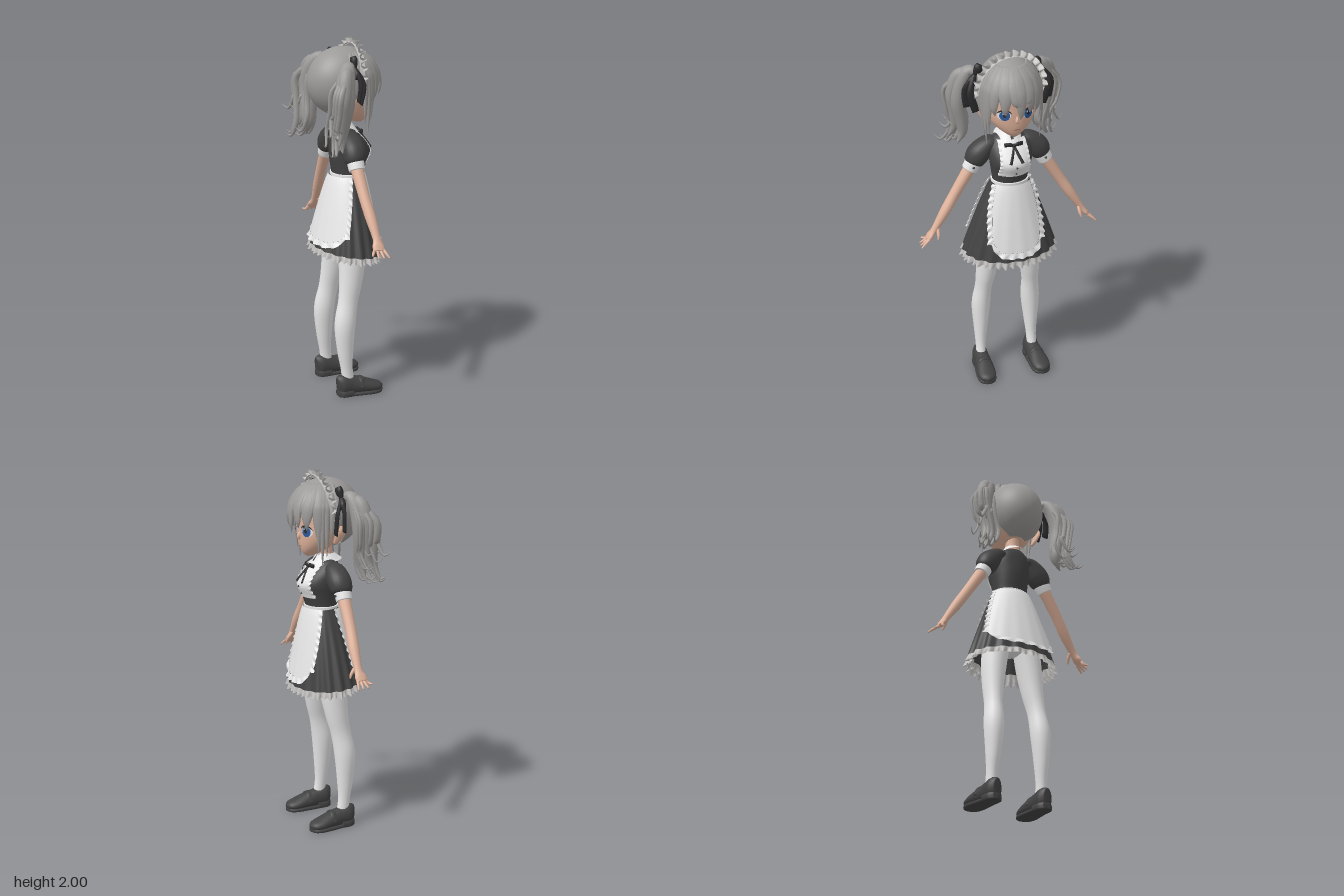
import * as THREE from 'three';

const paint = (name, color, side = THREE.DoubleSide) => {
  const m = new THREE.MeshStandardMaterial({ color, side });
  m.name = name;
  return m;
};
const V = (x, y, z) => new THREE.Vector3(x, y, z);
const lerp = THREE.MathUtils.lerp;
const UP = V(0, 1, 0), FORWARD = V(0, 0, 1);

// smooth interpolation of rows [x, y, z, halfWidth, halfDepth]
function sample(rows, t) {
  const f = t * (rows.length - 1), i = Math.min(Math.floor(f), rows.length - 2), k = f - i;
  const r = j => rows[Math.max(0, Math.min(rows.length - 1, j))];
  return rows[i].map((_, c) => {
    const [a, b, d, e] = [r(i - 1)[c], r(i)[c], r(i + 1)[c], r(i + 2)[c]];
    return b + 0.5 * k * (d - a + k * (2 * a - 5 * b + 4 * d - e + k * (3 * (b - d) + e - a)));
  });
}

function surface(pos, idx) {
  const g = new THREE.BufferGeometry();
  g.setAttribute('position', new THREE.Float32BufferAttribute(pos, 3));
  g.setIndex(idx);
  g.computeVertexNormals();
  return g;
}

// surface from a function of u and v in 0..1
function grid(fn, nu, nv) {
  const pos = [], idx = [];
  for (let i = 0; i <= nv; i++) for (let j = 0; j <= nu; j++) pos.push(...fn(j / nu, i / nv).toArray());
  for (let i = 0; i < nv; i++) for (let j = 0; j < nu; j++) {
    const a = i * (nu + 1) + j, c = a + nu + 1;
    idx.push(a, c, a + 1, a + 1, c, c + 1);
  }
  return surface(pos, idx);
}

// closed tube with oval sections; ref sets the depth direction, axis keeps the sections level
function sweep(rows, { ref = FORWARD, seg = 14, steps = 5, lo = -9, hi = 9, axis } = {}) {
  const n = (rows.length - 1) * steps, pos = [], idx = [];
  for (let i = -1; i <= n + 1; i++) {
    const t = Math.max(0, Math.min(1, i / n)), s = sample(rows, t), k = i < 0 || i > n ? 0 : 1;
    const p = sample(rows, Math.max(0, t - 0.01)), q = sample(rows, Math.min(1, t + 0.01));
    const T = axis || V(q[0] - p[0], q[1] - p[1], q[2] - p[2]).normalize();
    const S = T.clone().cross(ref).normalize(), N = S.clone().cross(T);
    for (let j = 0; j < seg; j++) {
      const w = j / seg * Math.PI * 2;
      const v = V(s[0], s[1], s[2]).addScaledVector(S, k * Math.max(0, s[3]) * Math.cos(w))
        .addScaledVector(N, k * Math.max(0, s[4]) * Math.sin(w));
      pos.push(v.x, Math.max(lo, Math.min(hi, v.y)), v.z);
    }
  }
  for (let i = 0; i < n + 2; i++) for (let j = 0; j < seg; j++) {
    const a = i * seg + j, b = i * seg + (j + 1) % seg;
    idx.push(a, a + seg, b, b, a + seg, b + seg);
  }
  return surface(pos, idx);
}

// point on the front of an upright body at a given x and y
function front(rows, x, y, off) {
  let a = 0, b = 1;
  for (let i = 0; i < 24; i++) sample(rows, (a + b) / 2)[1] < y ? a = (a + b) / 2 : b = (a + b) / 2;
  const s = sample(rows, a);
  return V(x, y, s[2] + off + s[4] * Math.sqrt(Math.max(0, 1 - ((x - s[0]) / s[3]) ** 2)));
}

export function createModel() {
  const body = new THREE.Group(), model = new THREE.Group();
  model.add(body);
  body.name = 'figure';
  body.rotation.y = Math.PI / 2;
  const hair = paint('hair grey', 0x9c9a98), dark = paint('dress charcoal', 0x424243);
  const white = paint('apron white', 0xeeeeee), lace = paint('lace grey', 0xc4c2c0);
  const skin = paint('skin', 0xdfb29b, THREE.FrontSide), blue = paint('eye blue', 0x2d5b9c);
  const black = paint('ribbon black', 0x2c2c2e), lip = paint('lip', 0xa8705f);
  const add = (name, geo, mat) => {
    const m = new THREE.Mesh(geo, mat);
    m.name = name;
    body.add(m);
  };
  let seed = 7;
  const rnd = () => (seed = (seed * 16807) % 2147483647) / 2147483647;

  // head and neck
  const head = [[0, 1.535, .105, .012, .018], [0, 1.555, .092, .046, .052], [0, 1.59, .07, .09, .087],
    [0, 1.64, .05, .127, .113], [0, 1.71, .035, .146, .13], [0, 1.8, .02, .148, .145], [0, 1.88, .01, .11, .11]];
  add('head', sweep(head, { seg: 32, axis: UP }), skin);
  add('neck', sweep([[0, 1.48, 0, .05, .045], [0, 1.54, .01, .04, .04], [0, 1.64, .02, .045, .05]]), skin);
  add('nose', sweep([[0, 1.675, .152, .005, .008], [0, 1.645, .163, .01, .015], [0, 1.632, .15, .006, .008]]), skin);
  const decal = (name, x, y, w, h, off, mat) => add(name, grid((u, v) =>
    front(head, x + w * v * Math.cos(u * 6.2832), y + h * v * Math.sin(u * 6.2832), off), 20, 3), mat);
  decal('mouth', 0, 1.592, .018, .0025, .003, lip);
  for (const s of [-1, 1]) {
    decal('eyeWhite', s * .067, 1.678, .033, .028, .002, white);
    decal('iris', s * .065, 1.678, .026, .029, .004, blue);
    decal('pupil', s * .065, 1.682, .01, .014, .006, black);
    decal('eyeGlint', s * .065 - .009, 1.691, .004, .005, .008, white);
    add('lash', grid((u, v) => front(head, s * .067 - .038 * Math.cos(u * Math.PI),
      1.68 + (.023 + .011 * v) * Math.sin(u * Math.PI), .007), 12, 1), black);
    add('ear', sweep([[s * .14, 1.615, .02, .008, .012], [s * .152, 1.645, .005, .012, .025],
      [s * .162, 1.685, -.005, .012, .03], [s * .155, 1.71, 0, .006, .012]]), skin);
  }

  // hair cap, cut away in front of the face
  const dome = (f, a, k = 1) => V(.165 * k * Math.sin(a) * Math.sin(f), 1.765 + .19 * k * Math.cos(a),
    .01 + .2 * k * Math.sin(a) * Math.cos(f));
  add('hairCap', grid((u, v) => {
    const f = (u - .5) * Math.PI * 2, c = Math.cos(f);
    return dome(f, v * (c > 0 ? lerp(1.8, 1.25, c) : lerp(1.8, 2.75, Math.min(1, -c * 1.6))));
  }, 48, 24), hair);

  // pointed fringe and long locks beside the face, fanning out from the parting
  const lock = (f, tip, width, lean = 0) => {
    const rows = [.55, .9, 1.2, 1.45].map((a, i) =>
      [...dome(f + lean * i * .25, a, [.975, .99, 1.005, 1.02][i]).toArray(), width * [.6, 1, 1.05, .9][i], .012]);
    const e = dome(f + lean, 1.57, 1.03);
    rows.push([e.x, lerp(1.77, tip, .5), e.z, width * .6, .009], [e.x * .95 - lean * .03, tip, e.z * .97, .001, .001]);
    add('fringeLock', sweep(rows, { ref: V(Math.sin(f), .35, Math.cos(f)), seg: 8, steps: 4 }), hair);
  };
  [[-.92, 1.6, -.1], [-.74, 1.68, -.08], [-.56, 1.72, .1], [-.38, 1.69, -.08], [-.22, 1.74, .12], [-.06, 1.67, .1],
    [.1, 1.73, -.1], [.26, 1.7, .12], [.44, 1.75, -.1], [.58, 1.69, .1], [.76, 1.71, -.06], [.92, 1.62, .1]]
    .forEach(([f, tip, lean]) => lock(f, tip, .034, lean));
  for (const s of [-1, 1]) [[1.03, 1.56], [1.13, 1.5], [1.25, 1.55], [1.4, 1.64], [1.55, 1.68]].forEach(([f, y]) => lock(s * f, y, .02));

  // scalloped headband
  const arch = (u, r, z) => {
    const a = (u - .5) * 3.4;
    return V((.17 + r) * Math.sin(a), 1.775 + (.19 + r) * Math.cos(a), .045 + .025 * Math.cos(a) + z);
  };
  add('headband', grid((u, v) => arch(u, .005, (v - .5) * .03), 40, 1), lace);
  add('headbandFrill', grid((u, v) => arch(u, .002 + .033 * v * (.7 + .3 * Math.abs(Math.cos(u * 47))),
    .02 * Math.sin(u * 94) * (.35 + .65 * v)), 200, 4), lace);

  for (const s of [-1, 1]) {
    const m = rows => rows.map(([x, ...r]) => [s * x, ...r]);
    // twin tails: two full locks and loose curls
    add('hairTail', sweep(m([[.16, 1.86, -.02, .02, .02], [.2, 1.87, -.045, .032, .035], [.237, 1.8, -.075, .042, .052],
      [.252, 1.69, -.085, .042, .052], [.232, 1.58, -.095, .036, .046], [.225, 1.5, -.1, .026, .034], [.255, 1.43, -.1, .002, .002]]), { seg: 16 }), hair);
    add('outerTailLock', sweep(m([[.19, 1.87, -.04, .015, .02], [.25, 1.84, -.08, .03, .035], [.285, 1.73, -.1, .026, .036],
      [.272, 1.62, -.11, .024, .03], [.262, 1.53, -.12, .022, .024], [.3, 1.45, -.15, .002, .002]]), { seg: 12 }), hair);
    for (let i = 0; i < 14; i++) {
      const x = .19 + .11 * rnd(), z = -.03 - .12 * rnd(), y = 1.42 + .17 * rnd(), w = .007 + .007 * rnd(), out = .03 + .04 * rnd();
      add('tailStrand', sweep(m([[.21, 1.86, -.04, w, w], [x + .02, 1.76, z, w, w * 1.5], [x + .012, 1.64, z - .01, w, w * 1.5],
        [x - .01, y + .08, z - .02, w, w * 1.2], [x + out * .5, y, z - .04, w * .6, w * .6], [x + out, y + .02, z - .07, .001, .001]]), { seg: 7, steps: 4 }), hair);
    }
    // ribbons tying the tails
    const c = [.18, 1.865, 0];
    [[.15, 1.915], [.205, 1.81]].forEach(([x, y]) => add('hairBowLoop', sweep(m([[...c, .01, .012],
      [lerp(c[0], x, .6), lerp(c[1], y, .6), .004, .026, .02], [x, y, .005, .022, .016]])), black));
    [[.185, 1.67, .025, .215, 1.75], [.225, 1.69, -.005, .235, 1.76]].forEach(([x, y, z, mx, my]) => add('hairBowEnd',
      sweep(m([[...c, .01, .01], [mx, my + .03, z + .015, .019, .008], [x, y, z + .01, .021, .007]]), { seg: 8 }), black));

    // arm, hand and fingers
    add('arm', sweep(m([[.13, 1.45, 0, .04, .04], [.205, 1.34, 0, .034, .036], [.3, 1.19, .005, .029, .03], [.36, 1.095, .014, .028, .03],
      [.425, .995, .02, .018, .022], [.45, .96, .018, .015, .033], [.468, .938, .015, .01, .031]])), skin);
    for (let i = 0; i < 4; i++) {
      const z = -.008 + .016 * i, tz = -.032 + .03 * i, d = [.016, .002, 0, -.002][i];
      add('finger', sweep(m([[.46, .945, z, .008, .009], [.485 - d, .925, (z + tz) / 2, .0075, .0075], [.508 - d, .908 + d, tz, .004, .004]]), { seg: 8 }), skin);
    }
    add('thumb', sweep(m([[.41, 1, .03, .01, .01], [.412, .97, .052, .009, .009], [.418, .945, .063, .004, .004]]), { seg: 8 }), skin);

    // puffed sleeve and cuff
    add('sleeve', sweep(m([[.075, 1.475, .005, .025, .045], [.115, 1.463, .005, .044, .056], [.162, 1.415, .005, .062, .066],
      [.19, 1.37, 0, .056, .058], [.2, 1.352, 0, .04, .04]]), { seg: 24 }), dark);
    add('cuff', sweep(m([[.19, 1.368, 0, .046, .047], [.203, 1.344, 0, .045, .046], [.217, 1.318, 0, .043, .044]]), { seg: 20 }), white);
    add('cuffButton', new THREE.SphereGeometry(.007, 10, 8).translate(s * .205, 1.345, .046), dark);

    // stockinged leg
    add('stocking', sweep(m([[.158, .05, -.02, .028, .04], [.156, .15, -.032, .029, .034], [.153, .27, -.04, .04, .047],
      [.149, .42, -.04, .053, .06], [.14, .55, -.018, .047, .057], [.13, .66, .002, .056, .066],
      [.116, .8, .017, .068, .078], [.095, .96, .02, .075, .08]]), { seg: 24 }), white);

    // shoe: upper, sole, heel and strap
    const shoe = m([[.156, .06, -.088, .022, .05], [.157, .062, -.06, .043, .062], [.158, .056, -.005, .045, .054], [.161, .048, .05, .05, .046],
      [.165, .036, .115, .054, .032], [.167, .028, .16, .042, .023], [.168, .024, .18, .012, .01]]);
    add('shoe', sweep(shoe, { ref: UP, seg: 20, lo: .012 }), dark);
    add('sole', sweep(shoe.map(r => [r[0], .008, r[2], r[3] * 1.04, .03]), { ref: UP, seg: 20, lo: 0, hi: .016 }), dark);
    add('heel', sweep(shoe.slice(0, 3).map(r => [r[0], .015, r[2], r[3] * 1.05, .05]), { ref: UP, seg: 20, lo: 0, hi: .034 }), dark);
    add('shoeStrap', sweep([[s * .112, .045, .05, .018, .005], [s * .132, .084, .048, .018, .006],
      [s * .161, .095, .046, .018, .006], [s * .19, .084, .048, .018, .006], [s * .21, .045, .05, .018, .005]], { ref: UP, seg: 10 }), dark);
  }

  // bodice, waistband and bib
  const torso = [[0, 1.2, .035, .1, .083], [0, 1.26, .037, .098, .086], [0, 1.32, .042, .106, .1], [0, 1.38, .05, .116, .114],
    [0, 1.44, .034, .118, .095], [0, 1.49, .014, .098, .068], [0, 1.52, .006, .058, .048]];
  add('bodice', sweep(torso, { seg: 36, axis: UP }), dark);
  add('waistband', sweep([[0, 1.21, .035, .113, .096], [0, 1.235, .036, .106, .092], [0, 1.262, .037, .104, .092]], { seg: 36, axis: UP }), white);
  const bib = (w, y, off) => front(torso, w * lerp(.074, .064, (y - 1.31) / .19), y, off);
  add('bib', grid((u, v) => bib(u * 2 - 1, lerp(1.31, 1.5, v), .006), 16, 14), white);
  for (const s of [-1, 1]) add('bibFrill', grid((u, v) => bib(s * (.97 + .24 * u), lerp(1.31, 1.5, v),
    .008 + .004 * u * (1 + Math.sin(v * 50))), 3, 60), white);
  for (const y of [1.33, 1.37]) add('button', new THREE.SphereGeometry(.006, 10, 8).translate(0, y, front(torso, 0, y, .006).z), dark);

  // collar and neck bow
  add('collar', grid((u, v) => {
    const f = .12 + u * (Math.PI * 2 - .24), r = lerp(.046, .076, v);
    return V(r * Math.sin(f), lerp(1.545, 1.5 - .014 * Math.cos(f), v), .008 + r * (1 + .2 * v) * Math.cos(f));
  }, 40, 3), white);
  const knot = [0, 1.478, .112];
  for (const s of [-1, 1]) {
    add('neckBowLoop', sweep([[...knot, .006, .006], [s * .025, 1.486, .113, .012, .007], [s * .05, 1.482, .102, .012, .006]]), black);
    add('neckBowEnd', sweep([[...knot, .006, .004], [s * .018, 1.43, .144, .008, .004], [s * .034, 1.393, .166, .009, .004]]), black);
  }
  add('neckBowKnot', new THREE.SphereGeometry(.011, 12, 8).translate(...knot), black);

  // pleated skirt; v runs from waist to hem
  const skirt = (f, v, off = 0, pleat = 1) => {
    const k = Math.pow(Math.max(0, v), .85), fold = 1 + .03 * pleat * k * Math.sin(f * 18);
    return V((lerp(.103, .262, k) * fold + off) * Math.sin(f), 1.25 - v * (.42 + .02 * Math.cos(f)),
      lerp(.035, .022, k) + (lerp(.088, .18, k) * fold + off) * Math.cos(f));
  };
  add('skirt', grid((u, v) => skirt(u * Math.PI * 2, v), 176, 14), dark);
  for (const [name, top, off] of [['hemFrill', .97, -.004], ['petticoatFrill', .94, -.02]])
    add(name, grid((u, v) => skirt(u * Math.PI * 2, top + v * (.11 + .012 * Math.sin(u * 251)), off + .009 * v * Math.sin(u * Math.PI * 80)), 280, 3), lace);
  add('underwear', sweep([[0, .88, .01, .03, .05], [0, .94, .015, .12, .085], [0, 1.05, .02, .13, .085], [0, 1.2, .03, .095, .08]], { seg: 24 }), white);

  // front and back apron with a frill along the open edge
  for (const [name, turn, top, low, reach] of [['frontApron', 0, .95, .62, .2], ['backApron', Math.PI, 1.25, 1.04, .12]]) {
    const panel = (u, s, off) => {
      const v = s * (.87 - .17 * Math.pow(Math.min(1, Math.abs(u)), 4));
      return skirt(turn + u * lerp(top, low, Math.min(1, s)), v, off, .25);
    };
    add(name, grid((u, v) => panel(u * 2 - 1, v, .012), 44, 20), white);
    add(name + 'Frill', grid((p, w) => {
      const u = p < .35 ? -1 : p > .65 ? 1 : (p - .5) / .15, s = p < .35 ? p / .35 : p > .65 ? (1 - p) / .35 : 1;
      return panel(u * (1 + reach * w), s * (1 + .08 * w), .013 + .006 * w * (1 + Math.sin(p * 150)));
    }, 220, 3), white);
  }
  return model;
}
